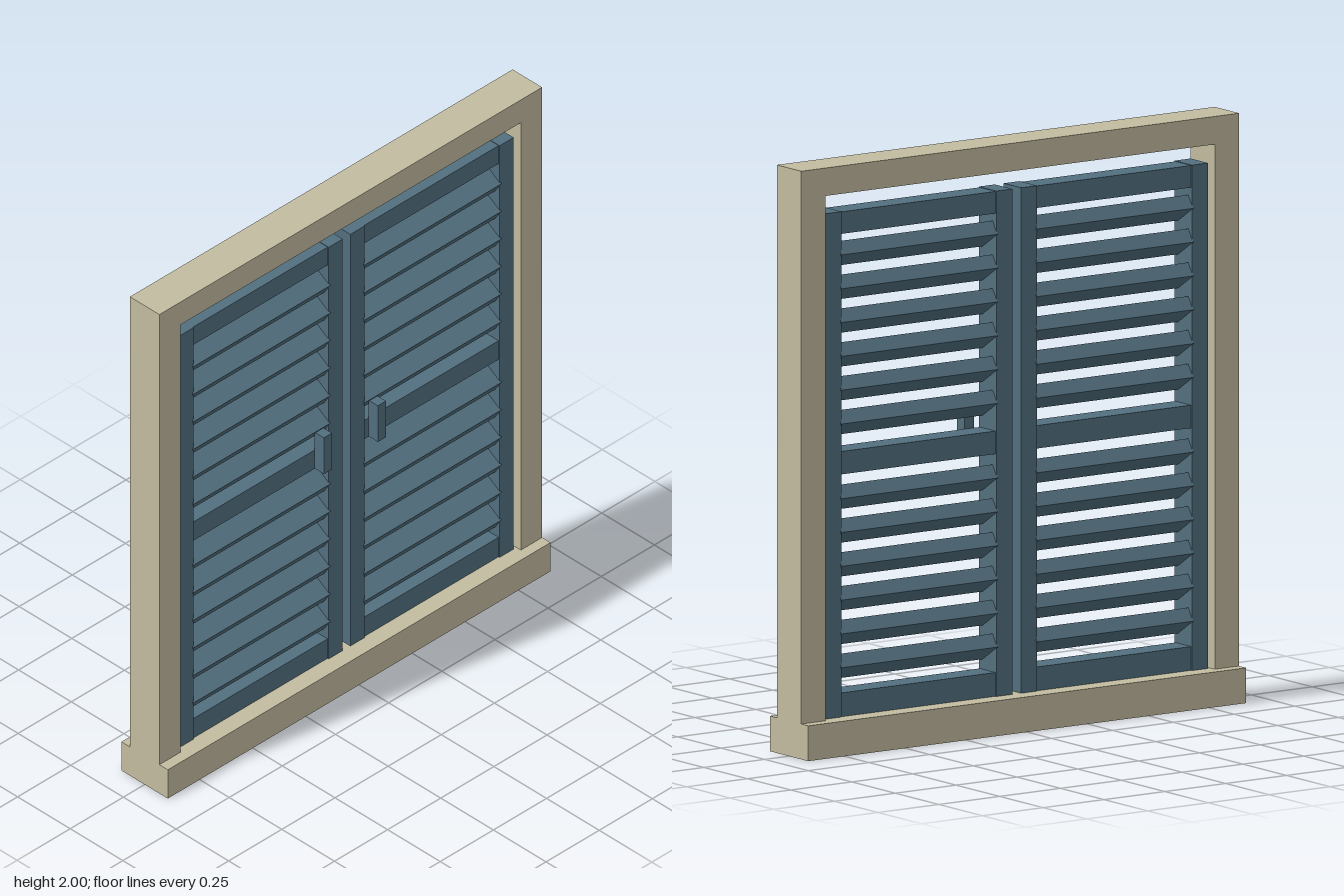
import * as THREE from 'three';

export function createModel() {
  const model = new THREE.Group();
  const stone = new THREE.MeshStandardMaterial({ color: 0xc2bba0 });
  stone.name = 'sand frame';
  const blue = new THREE.MeshStandardMaterial({ color: 0x526f7e });
  blue.name = 'slate blue paint';

  // Box from its limits on each axis
  function box(parent, name, material, [x0, x1], [y0, y1], [z0, z1]) {
    const mesh = new THREE.Mesh(new THREE.BoxGeometry(x1 - x0, y1 - y0, z1 - z0), material);
    mesh.position.set((x0 + x1) / 2, (y0 + y1) / 2, (z0 + z1) / 2);
    mesh.name = name;
    parent.add(mesh);
    return mesh;
  }

  // Window surround
  const frame = new THREE.Group();
  frame.name = 'frame';
  model.add(frame);
  box(frame, 'sill', stone, [-0.9, 0.9], [0, 0.12], [-0.11, 0.11]);
  box(frame, 'leftPost', stone, [0.8, 0.9], [0.12, 2], [-0.07, 0.07]);
  box(frame, 'rightPost', stone, [-0.9, -0.8], [0.12, 2], [-0.07, 0.07]);
  box(frame, 'head', stone, [-0.8, 0.8], [1.905, 2], [-0.07, 0.07]);

  // One louvred shutter per side, laid out about its own centre line
  const half = 0.384, stile = 0.066, inner = half - stile;
  const tilt = THREE.MathUtils.degToRad(32.5);
  for (const side of [-1, 1]) {
    const shutter = new THREE.Group();
    shutter.name = side > 0 ? 'leftShutter' : 'rightShutter';
    shutter.position.x = side * 0.402;
    model.add(shutter);

    for (const s of [-1, 1]) {
      const x = s * (half - stile / 2);
      box(shutter, 'stile', blue, [x - stile / 2, x + stile / 2], [0.121, 1.84], [-0.05, 0.05]);
    }
    const rails = { topRail: [1.763, 1.838], middleRail: [0.945, 1.023], bottomRail: [0.121, 0.202] };
    for (const [name, y] of Object.entries(rails)) {
      box(shutter, name, blue, [-inner, inner], y, [-0.045, 0.045]);
    }

    // Six tilted slats above and six below the middle rail
    for (const top of [1.688, 0.859]) {
      for (let i = 0; i < 6; i++) {
        const y = top - i * 0.115;
        const slat = box(shutter, 'slat', blue, [-inner - 0.004, inner + 0.004], [y - 0.025, y + 0.025], [-0.05, 0.05]);
        slat.rotation.x = tilt;
      }
    }

    // Pull handle beside the meeting stile
    const hx = -side * 0.275;
    box(shutter, 'handle', blue, [hx - 0.019, hx + 0.019], [0.947, 1.098], [0.045, 0.09]);
  }
  return model;
}
